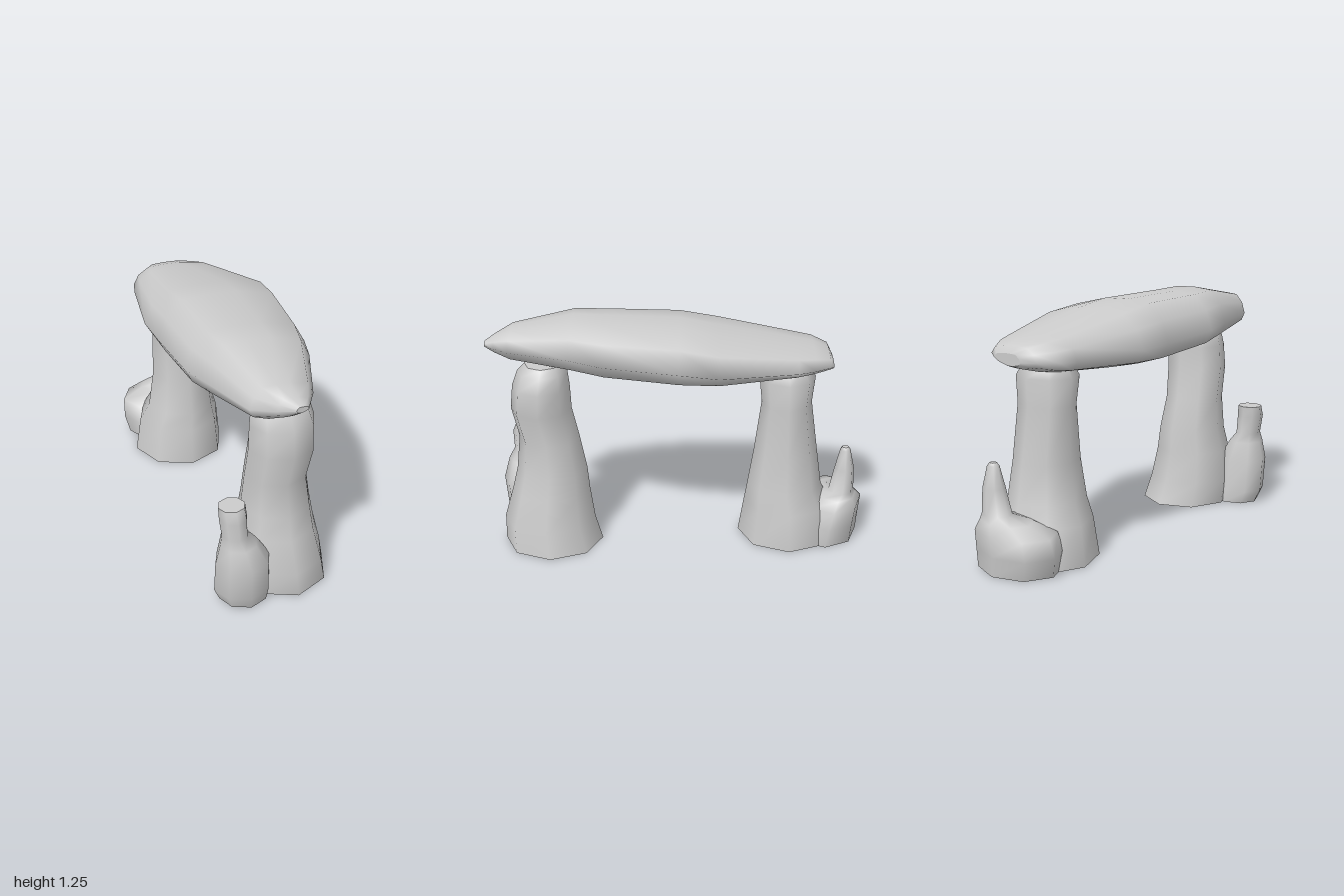
import * as THREE from 'three';

const material = new THREE.MeshStandardMaterial({ color: 0xcccccc, roughness: 0.9 });

// Smooth skin through a list of equal-length rings, with flat end caps
function loft(name, rings) {
  const n = rings[0].length;
  const pos = rings.flat(2);
  const index = [];
  for (let i = 0; i < rings.length - 1; i++) {
    for (let j = 0; j < n; j++) {
      const k = (j + 1) % n;
      const a = i * n + j, b = i * n + k, c = a + n, d = b + n;
      index.push(a, c, b, b, c, d);
    }
  }
  const addCap = (ring, atEnd) => {
    const base = pos.length / 3;
    const mid = [0, 1, 2].map(q => ring.reduce((s, p) => s + p[q], 0) / n);
    pos.push(...mid, ...ring.flat());
    for (let j = 0; j < n; j++) {
      const a = base + 1 + j, b = base + 1 + (j + 1) % n;
      if (atEnd) index.push(base, b, a);
      else index.push(base, a, b);
    }
  };
  addCap(rings[0], false);
  addCap(rings[rings.length - 1], true);
  const geometry = new THREE.BufferGeometry();
  geometry.setAttribute('position', new THREE.Float32BufferAttribute(pos, 3));
  geometry.setIndex(index);
  geometry.computeVertexNormals();
  const mesh = new THREE.Mesh(geometry, material);
  mesh.name = name;
  return mesh;
}

// Upright stone: each level is [y, xMin, xMax, zMin, zMax]
function upright(name, levels, sides = 8) {
  return loft(name, levels.map(([y, x0, x1, z0, z1]) =>
    Array.from({ length: sides }, (_, j) => {
      const a = (j / sides) * Math.PI * 2;
      return [
        (x0 + x1) / 2 + (x1 - x0) / 2 * Math.cos(a),
        y,
        (z0 + z1) / 2 + (z1 - z0) / 2 * Math.sin(a),
      ];
    })));
}

// Lopsided capstone: each station is [z, xMin, xMax, yMin, yMax]
function capstone() {
  const section = [
    [0, 0.38], [0.06, 0.72], [0.19, 0.97], [0.4, 1], [0.62, 0.98],
    [0.91, 0.84], [1, 0.52], [0.8, 0.2], [0.5, 0], [0.3, 0], [0.06, 0.15],
  ];
  const stations = [
    [-0.79, -0.1, 0.08, 0.99, 1.05],
    [-0.77, -0.19, 0.12, 0.98, 1.085],
    [-0.69, -0.265, 0.18, 0.96, 1.11],
    [-0.6, -0.29, 0.22, 0.945, 1.125],
    [-0.2, -0.355, 0.355, 0.915, 1.2],
    [0, -0.35, 0.335, 0.905, 1.235],
    [0.38, -0.335, 0.285, 0.935, 1.243],
    [0.55, -0.3, 0.235, 0.965, 1.25],
    [0.87, -0.2, 0.11, 1.015, 1.188],
    [0.95, -0.1, 0.06, 1.06, 1.155],
    [1, -0.03, 0.03, 1.1, 1.13],
  ];
  return loft('capstone', stations.map(([z, x0, x1, y0, y1]) =>
    section.map(([u, v]) => [x0 + (x1 - x0) * u, y0 + (y1 - y0) * v, z])));
}

export function createModel() {
  const group = new THREE.Group();
  group.name = 'stoneArch';

  group.add(capstone());

  // Front pillar with its side stump
  group.add(upright('frontPillar', [
    [0, -0.2, 0.29, 0.42, 0.95],
    [0.13, -0.2, 0.26, 0.46, 0.95],
    [0.3, -0.19, 0.22, 0.485, 0.9],
    [0.42, -0.165, 0.2, 0.495, 0.87],
    [0.6, -0.15, 0.17, 0.53, 0.85],
    [0.77, -0.145, 0.19, 0.565, 0.885],
    [0.9, -0.14, 0.19, 0.57, 0.87],
    [0.98, -0.13, 0.165, 0.58, 0.84],
    [1.02, -0.09, 0.13, 0.61, 0.8],
  ]));
  group.add(upright('frontStump', [
    [0, -0.33, -0.08, 0.71, 0.95],
    [0.07, -0.36, -0.07, 0.71, 0.97],
    [0.24, -0.36, -0.08, 0.73, 0.985],
    [0.35, -0.335, -0.15, 0.76, 0.955],
    [0.4, -0.325, -0.195, 0.78, 0.925],
    [0.5, -0.34, -0.2, 0.78, 0.93],
    [0.56, -0.34, -0.205, 0.78, 0.905],
  ]));

  // Back pillar with its rear mound and spike
  group.add(upright('backPillar', [
    [0, -0.32, 0.2, -0.86, -0.325],
    [0.2, -0.29, 0.18, -0.82, -0.355],
    [0.3, -0.24, 0.15, -0.77, -0.37],
    [0.5, -0.21, 0.12, -0.74, -0.4],
    [0.78, -0.205, 0.105, -0.7, -0.435],
    [0.92, -0.22, 0.105, -0.715, -0.42],
    [0.98, -0.18, 0.07, -0.68, -0.45],
  ]));
  group.add(upright('backMound', [
    [0, -0.3, 0.15, -0.98, -0.6],
    [0.1, -0.325, 0.15, -0.99, -0.62],
    [0.2, -0.32, 0.14, -1, -0.66],
    [0.25, -0.2, 0.1, -0.965, -0.74],
    [0.28, -0.09, 0.07, -0.945, -0.81],
    [0.41, -0.065, 0.055, -0.94, -0.835],
    [0.52, -0.035, 0.03, -0.915, -0.86],
    [0.535, -0.02, 0.015, -0.905, -0.87],
  ]));

  return group;
}
